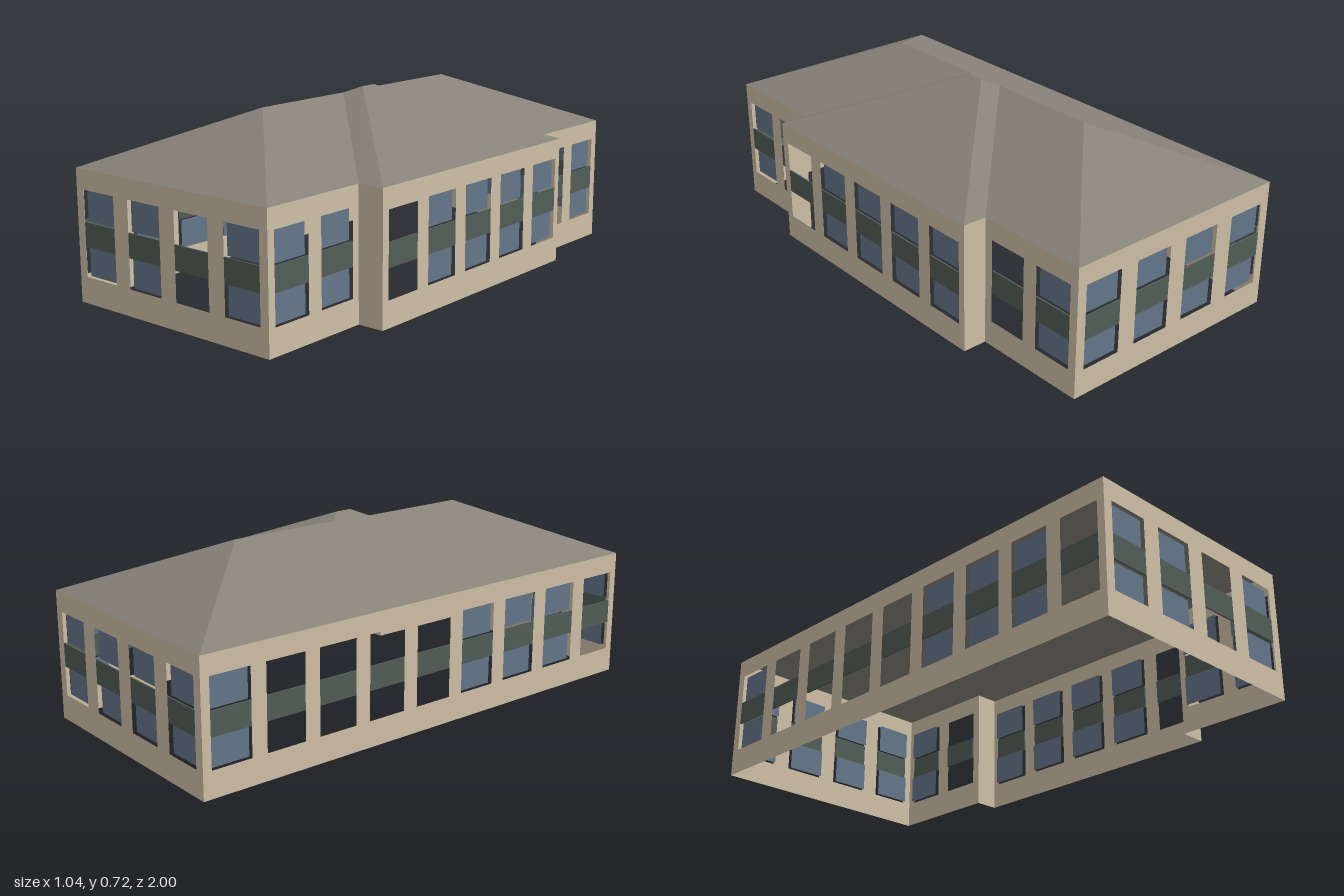
import * as THREE from 'three';

const EAVE = 0.497, SLOPE = 0.438;   // wall height and roof pitch
const SILL = 0.10, MID_LOW = 0.213, MID_HIGH = 0.304, HEAD = 0.422, WIN_W = 0.16;
const GAP = 0.002;                   // clearance around each pane
const RECESS = 0.015;                // glass sits behind the wall face
const PANEL_D = 0.006;
const W = -0.52, EF = 0.415, EB = 0.425, BAY = 0.52, BF = 0.558, BB = -0.55;

function material(name, color) {
  const m = new THREE.MeshStandardMaterial({ color, side: THREE.DoubleSide });
  m.name = name;
  return m;
}

function addMesh(parent, name, geometry, mat, x = 0, y = 0, z = 0) {
  const m = new THREE.Mesh(geometry, mat);
  m.name = name;
  m.position.set(x, y, z);
  parent.add(m);
  return m;
}

// Flat polygon as a triangle fan, corners counter-clockwise from outside
function facet(points) {
  const pos = [];
  for (let i = 1; i < points.length - 1; i++) pos.push(...points[0], ...points[i], ...points[i + 1]);
  const g = new THREE.BufferGeometry();
  g.setAttribute('position', new THREE.Float32BufferAttribute(pos, 3));
  g.computeVertexNormals();
  return g;
}

export function createModel() {
  const wallMat = material('tan wall', 0xd0c0a7);
  const glassMat = material('blue glass', 0x65778b);
  const panelMat = material('green panel', 0x525e58);
  const roofMat = material('grey roof', 0x888379);

  const model = new THREE.Group();
  model.name = 'building';

  // Wall between two ground points, outside on its right-hand side.
  // Windows are [distance along wall, has glass].
  function wall(name, [x0, z0], [x1, z1], windows = []) {
    const g = new THREE.Group();
    g.name = name;
    g.position.set(x0, 0, z0);
    g.rotation.y = Math.atan2(z0 - z1, x1 - x0);
    const len = Math.hypot(x1 - x0, z1 - z0);
    const shape = new THREE.Shape([[0, 0], [len, 0], [len, EAVE], [0, EAVE]].map(p => new THREE.Vector2(...p)));
    for (const [c, glazed] of windows) {
      const a = c - WIN_W / 2, b = c + WIN_W / 2;
      shape.holes.push(new THREE.Path([[a, SILL], [a, HEAD], [b, HEAD], [b, SILL]].map(p => new THREE.Vector2(...p))));
      addMesh(g, 'spandrelPanel', new THREE.BoxGeometry(WIN_W, MID_HIGH - MID_LOW, PANEL_D), panelMat,
        c, (MID_LOW + MID_HIGH) / 2, -PANEL_D / 2);
      if (!glazed) continue;
      for (const [lo, hi] of [[SILL, MID_LOW], [MID_HIGH, HEAD]]) {
        addMesh(g, 'windowPane', new THREE.PlaneGeometry(WIN_W - 2 * GAP, hi - lo - GAP), glassMat,
          c, (lo + hi) / 2, -RECESS);
      }
    }
    addMesh(g, 'wallFace', new THREE.ShapeGeometry(shape), wallMat);
    model.add(g);
  }

  // Evenly spaced windows of the ends and the long sides
  const endWindows = (len, open) => [0, 1, 2, 3].map(i => [len * (i + 0.5) / 4, i !== open]);
  const sideZ = Array.from({ length: 9 }, (_, i) => 0.89 - i * 0.222);
  const eastWindows = (from, to, start) => sideZ.slice(from, to).map((z, i) => [start - z, ![2, 7].includes(from + i)]);

  wall('frontWall', [W, 1], [EF, 1], endWindows(EF - W, 2));
  wall('leftFrontWall', [EF, 1], [EF, BF], eastWindows(0, 2, 1));
  wall('bayFrontReturn', [EF, BF], [BAY, BF]);
  wall('bayWall', [BAY, BF], [BAY, BB], eastWindows(2, 7, BF));
  wall('bayBackReturn', [BAY, BB], [EB, BB]);
  wall('leftBackWall', [EB, BB], [EB, -1], eastWindows(7, 9, BB));
  wall('backWall', [EB, -1], [W, -1], endWindows(EB - W, -1));
  wall('rightWall', [W, -1], [W, 1], sideZ.map((z, i) => [1 + z, ![0, 4, 5, 6, 7].includes(i)]));

  // Open-bottomed roof: two hipped ends and a higher hipped bay between them
  const onWest = (x, z) => [x, EAVE + SLOPE * (x - W), z];
  const eave = (x, z) => [x, EAVE, z];
  const rf = (W + EF) / 2, rb = (W + EB) / 2;
  const ridgeF = onWest(rf, 0.53), ridgeB = onWest(rb, -0.53);
  const valleyF = onWest(rf, 0.09), valleyB = onWest(rb, -0.08);
  const peakF = onWest(0, 0.038), peakB = onWest(0, -0.03);
  const roof = new THREE.Group();
  roof.name = 'roof';
  model.add(roof);
  const slopes = {
    rightSlope: [eave(W, 0), eave(W, 1), ridgeF, valleyF, peakF, peakB, valleyB, ridgeB, eave(W, -1)],
    frontHip: [eave(W, 1), eave(EF, 1), ridgeF],
    backHip: [eave(EB, -1), eave(W, -1), ridgeB],
    leftFrontSlope: [eave(EF, 1), eave(EF, BF), valleyF, ridgeF],
    leftBackSlope: [eave(EB, BB), eave(EB, -1), ridgeB, valleyB],
    bayFrontHip: [eave(EF, BF), eave(BAY, BF), peakF, valleyF],
    bayBackHip: [eave(BAY, BB), eave(EB, BB), valleyB, peakB],
    baySlope: [eave(BAY, BF), eave(BAY, BB), peakB, peakF],
  };
  for (const [name, points] of Object.entries(slopes)) addMesh(roof, name, facet(points), roofMat);

  return model;
}
